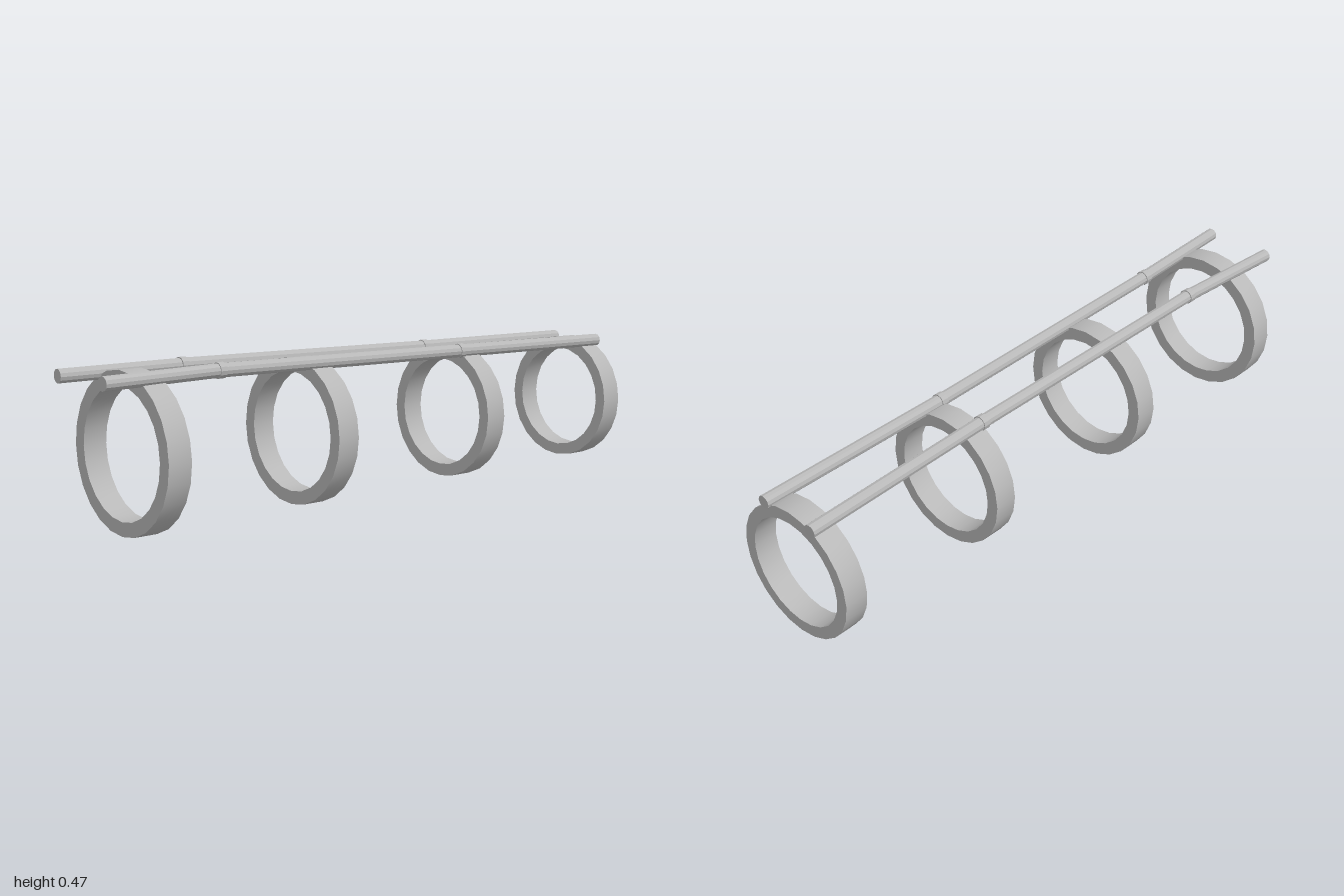
import * as THREE from 'three';
import { toCreasedNormals } from 'three/addons/utils/BufferGeometryUtils.js';

const grey = new THREE.MeshStandardMaterial({ color: 0xb8b8b8 });
grey.name = 'steel grey';

function part(name, geometry) {
  const mesh = new THREE.Mesh(geometry, grey);
  mesh.name = name;
  return mesh;
}

// Flat band with its axis along x
function ring(x, outer) {
  const inner = outer * 0.82, w = 0.037;
  const profile = [[inner, -w], [outer, -w], [outer, w], [inner, w], [inner, -w]]
    .map(([r, y]) => new THREE.Vector2(r, y));
  const geometry = toCreasedNormals(new THREE.LatheGeometry(profile, 24), 0.5);
  geometry.rotateZ(Math.PI / 2);
  geometry.translate(x, 0.233, 0);
  return part('ring', geometry);
}

// Faceted cylinder between two points
function bar(name, a, b, radius) {
  const dir = b.clone().sub(a);
  const geometry = toCreasedNormals(new THREE.CylinderGeometry(radius, radius, dir.length(), 12), 0.4);
  const mesh = part(name, geometry);
  mesh.quaternion.setFromUnitVectors(new THREE.Vector3(0, 1, 0), dir.normalize());
  mesh.position.copy(a).add(b).multiplyScalar(0.5);
  return mesh;
}

export function createModel() {
  const model = new THREE.Group();
  model.name = 'ringsOnRails';

  // Rings shrink towards +x
  for (const [x, r] of [[-0.84, 0.232], [-0.242, 0.222], [0.383, 0.212], [0.955, 0.207]]) {
    model.add(ring(x, r));
  }

  // Bent rails in three straight lengths, with a small collar at each bend
  for (const side of [1, -1]) {
    const rail = new THREE.Group();
    rail.name = side > 0 ? 'frontRail' : 'backRail';
    const path = [[-1, 0.447, 0.113], [-0.605, 0.45, 0.091], [0.345, 0.437, 0.084], [1, 0.43, 0.093]]
      .map(([x, y, z]) => new THREE.Vector3(x, y, z * side));
    for (let i = 0; i < 3; i++) {
      rail.add(bar('railLength', path[i], path[i + 1], 0.0205));
      if (i > 0) {
        const half = new THREE.Vector3(0.011, 0, 0);
        rail.add(bar('railCollar', path[i].clone().sub(half), path[i].clone().add(half), 0.0235));
      }
    }
    model.add(rail);
  }
  return model;
}
